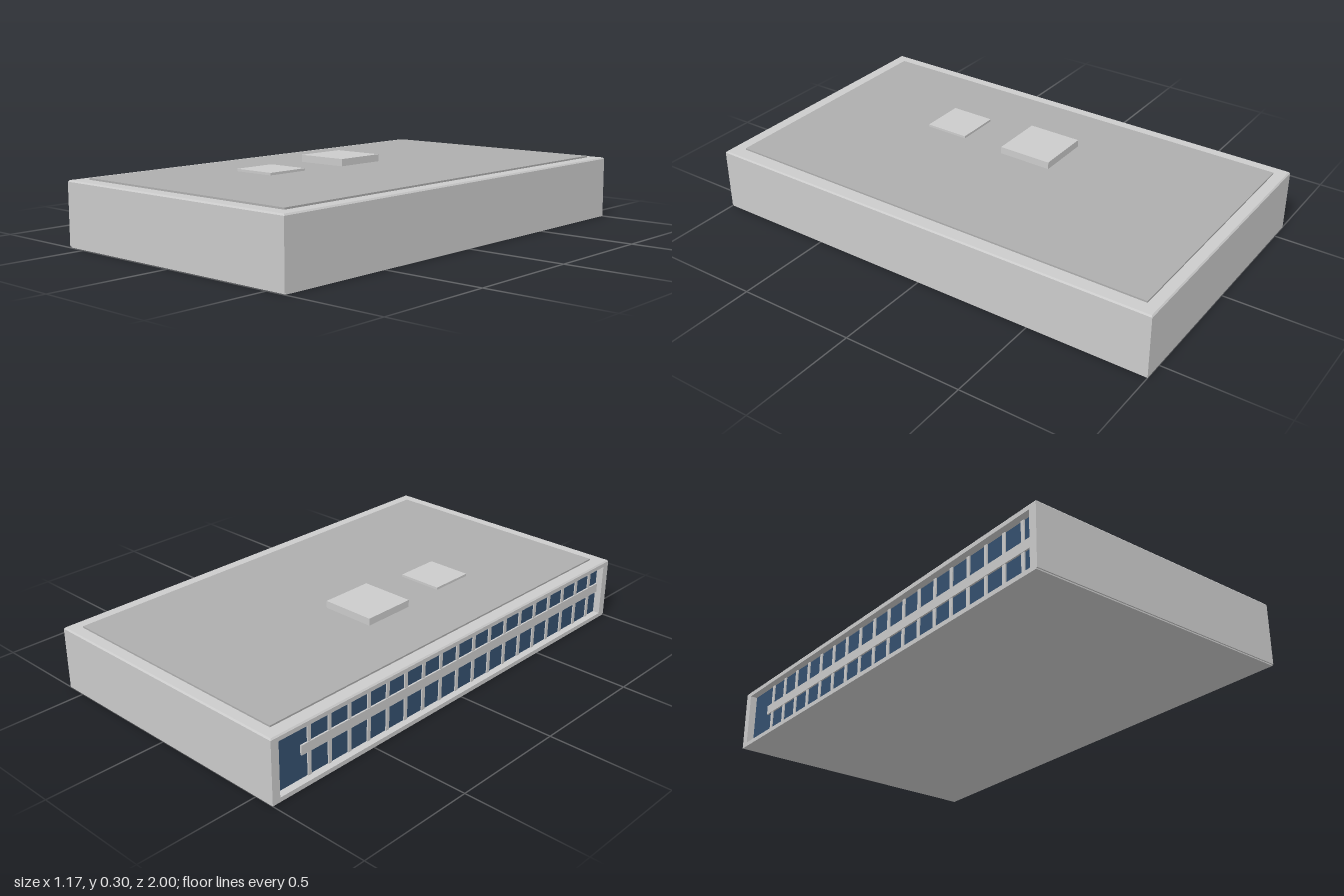
import * as THREE from 'three';

const grey = new THREE.MeshStandardMaterial({ color: 0xcccccc });
const deckGrey = new THREE.MeshStandardMaterial({ color: 0xaeaeae });
const glassBlue = new THREE.MeshStandardMaterial({ color: 0x35506f });

export function createModel() {
  const model = new THREE.Group();

  // Box given by its lower and upper limits on each axis
  function box(name, [x0, x1], [y0, y1], [z0, z1], material = grey, parent = model) {
    const mesh = new THREE.Mesh(new THREE.BoxGeometry(x1 - x0, y1 - y0, z1 - z0), material);
    mesh.position.set((x0 + x1) / 2, (y0 + y1) / 2, (z0 + z1) / 2);
    mesh.name = name;
    parent.add(mesh);
    return mesh;
  }

  // Main block, stopping short of the glazed side
  box('body', [-0.55, 0.583], [0.005, 0.257], [-1, 1]);
  box('base', [-0.583, 0.583], [0, 0.005], [-1, 0.995]);

  // Projecting frame around the glazed side
  const outline = new THREE.Shape([
    new THREE.Vector2(-1, 0.005), new THREE.Vector2(1, 0.005),
    new THREE.Vector2(1, 0.257), new THREE.Vector2(-1, 0.257),
  ]);
  outline.holes.push(new THREE.Path([
    new THREE.Vector2(-0.965, 0.018), new THREE.Vector2(-0.965, 0.24),
    new THREE.Vector2(0.965, 0.24), new THREE.Vector2(0.965, 0.018),
  ]));
  const frame = new THREE.Mesh(
    new THREE.ExtrudeGeometry(outline, { depth: 0.033, bevelEnabled: false }), grey);
  frame.rotation.y = -Math.PI / 2;
  frame.position.x = -0.55;
  frame.name = 'facadeFrame';
  model.add(frame);

  // Glazing with its floor band and mullions
  const facade = new THREE.Group();
  facade.name = 'windowWall';
  model.add(facade);
  box('glass', [-0.553, -0.549], [0.018, 0.24], [-0.965, 0.965], glassBlue, facade);
  box('floorBand', [-0.56, -0.55], [0.115, 0.155], [-0.84, 0.965], grey, facade);
  for (let i = 0; i < 18; i++) {
    const z = -0.8 + i * 0.1;
    box('mullion', [-0.558, -0.55], [0.018, 0.24], [z - 0.008, z + 0.008], grey, facade);
  }

  // Roof edge with a slight bevel: a four-sided frustum
  const edge = new THREE.CylinderGeometry(Math.SQRT1_2, Math.SQRT1_2, 0.006, 4).toNonIndexed();
  edge.rotateY(Math.PI / 4);
  const p = edge.attributes.position;
  for (let i = 0; i < p.count; i++) {
    const inset = p.getY(i) > 0 ? 0.005 : 0;
    p.setX(i, p.getX(i) * 2 * (0.583 - inset));
    p.setZ(i, p.getZ(i) * 2 * (1 - inset));
  }
  edge.computeVertexNormals();
  const roof = new THREE.Mesh(edge, grey);
  roof.position.y = 0.26;
  roof.name = 'roofEdge';
  model.add(roof);

  // Roof deck and rooftop units
  box('roofDeck', [-0.527, 0.525], [0.26, 0.27], [-0.95, 0.94], deckGrey);
  box('largeRoofUnit', [-0.27, -0.04], [0.268, 0.3], [-0.19, 0.04]);
  box('smallRoofUnit', [-0.25, -0.06], [0.268, 0.28], [0.24, 0.43]);

  return model;
}
